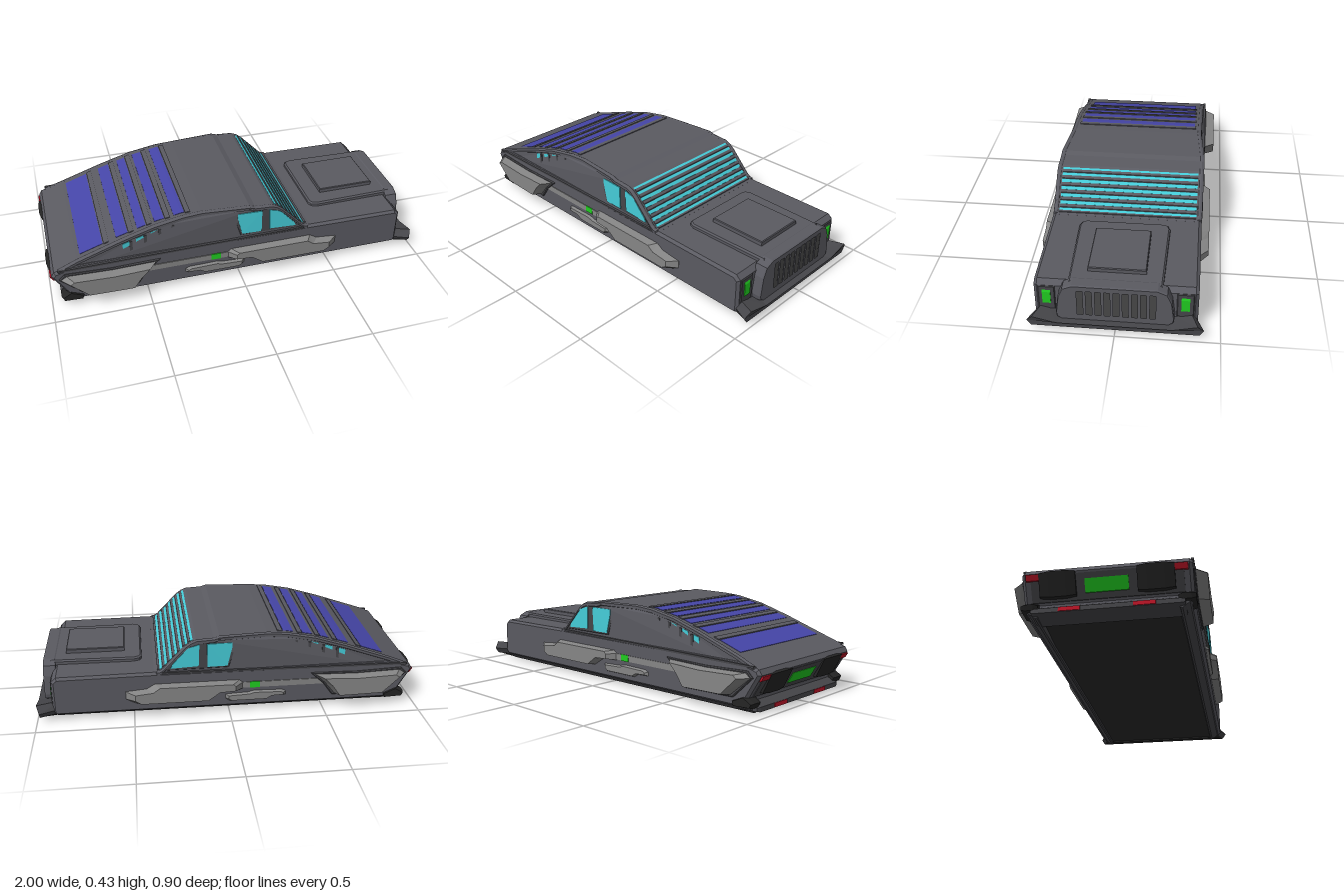
import * as THREE from 'three';

const BODY = 0x5a5a61, TRIM = 0x46464a, DARK = 0x242424, POD = 0x858585;
const CYAN = 0x45ccd8, BLUE = 0x4646a8, GREEN = 0x20cc20, RED = 0xc01528;

// Roof line seen from the side, tail to windshield base
const ROOF = [[-0.97, 0.22], [-0.85, 0.265], [-0.62, 0.345], [-0.45, 0.397], [-0.3, 0.425], [-0.2, 0.432],
  [0.05, 0.432], [0.08, 0.422], [0.17, 0.417], [0.2, 0.405], [0.23, 0.382], [0.345, 0.262], [0.36, 0.252], [0.39, 0.247]];
// Cabin width factor along x: slightly waisted behind the doors
const WAIST = [[-0.97, 1], [-0.85, 0.97], [-0.2, 0.945], [0.05, 1], [0.4, 1]];

// Value of a broken line at x
function lineAt(line, x) {
  for (let i = 1; i < line.length; i++) {
    const [x0, y0] = line[i - 1], [x1, y1] = line[i];
    if (x <= x1) return y0 + (y1 - y0) * (x - x0) / (x1 - x0);
  }
  return line[line.length - 1][1];
}
const roofY = x => lineAt(ROOF, x);

// Piece of the roof line between two x values, shifted vertically
function roofBand(x0, x1, up, down) {
  const xs = [x0, ...ROOF.map(p => p[0]).filter(x => x > x0 + 0.001 && x < x1 - 0.001), x1];
  return [...xs.map(x => [x, roofY(x) + up]), ...xs.reverse().map(x => [x, roofY(x) - down])];
}

const rect = (a, b, c, d) => [[a, b], [c, b], [c, d], [a, d]];

// Moves every vertex of a mesh by a rule
function reshape(mesh, rule) {
  const p = mesh.geometry.attributes.position;
  for (let i = 0; i < p.count; i++) p.setXYZ(i, ...rule(p.getX(i), p.getY(i), p.getZ(i)));
  mesh.geometry.computeVertexNormals();
}
const waist = mesh => reshape(mesh, (x, y, z) => [x, y, z * lineAt(WAIST, x)]);

export function createModel() {
  const root = new THREE.Group();
  const mats = {};
  const mat = c => mats[c] ??= new THREE.MeshStandardMaterial({ color: c, flatShading: true });

  // Extrudes an outline from a to b along an axis, with chamfered ends:
  // 'z' uses (x, y) points, 'y' uses (x, z) points, 'x' uses (z, y) points
  function slab(name, pts, a, b, color, { axis = 'z', size = 0, thick = size, holes = [] } = {}) {
    const flip = axis === 'x' ? -1 : 1;
    const shape = new THREE.Shape(pts.map(p => new THREE.Vector2(p[0] * flip, p[1])));
    for (const h of holes) shape.holes.push(new THREE.Path(h.map(p => new THREE.Vector2(p[0] * flip, p[1]))));
    const g = new THREE.ExtrudeGeometry(shape, {
      depth: b - a - 2 * thick, bevelEnabled: size > 0, bevelSize: size,
      bevelThickness: thick, bevelOffset: -size, bevelSegments: 1,
    });
    g.translate(0, 0, a + thick);
    if (axis === 'y') g.rotateX(-Math.PI / 2);
    if (axis === 'x') g.rotateY(Math.PI / 2);
    const m = new THREE.Mesh(g, mat(color));
    m.name = name;
    root.add(m);
    return m;
  }
  // Same outline on both sides of the car
  const pair = (name, pts, a, b, color, opt) => [
    slab(name + 'Left', pts, a, b, color, opt), slab(name + 'Right', pts, -b, -a, color, opt)];

  // Side pod whose outer face is shortened towards its middle
  function pod(name, pts, out, thick, mid, shrink) {
    for (const m of pair(name, pts, 0.31, out, POD, { size: 0.006, thick })) {
      reshape(m, (x, y, z) => [Math.abs(z) > out - 0.002 ? mid + (x - mid) * shrink : x, y, z]);
    }
  }

  // Lower hull, tucked-in sills and floor rising towards the tail
  slab('lowerBody', [[-0.91, 0.03], [0.9, 0.03], [0.915, 0.05], [0.915, 0.22], [0.89, 0.243], [0.35, 0.247],
    [-0.9, 0.24], [-0.97, 0.22], [-0.985, 0.195], [-0.91, 0.07]], -0.39, 0.39, BODY, { size: 0.012, thick: 0.015 });
  for (const s of [-1, 1]) {
    slab('sill', [[s * 0.388, 0.046], [s * 0.335, 0.003], [s * 0.325, 0.003], [s * 0.31, 0.04]], -0.92, 0.9, TRIM, { axis: 'x' });
  }
  slab('floorPan', [[-0.9, 0.029], [-0.62, 0.012], [0.9, 0.012], [0.9, 0.04], [-0.9, 0.04]], -0.33, 0.33, 0x2b2b2b);
  pair('beltLine', [[-0.95, 0.225], [0.35, 0.24], [0.35, 0.249], [-0.95, 0.235]], 0.38, 0.393, TRIM);

  // Fastback cabin with roof rails
  waist(slab('cabin', [...ROOF, ...ROOF.map(p => [p[0], 0.2]).reverse()], -0.382, 0.382, BODY, { size: 0.008, thick: 0.016 }));
  pair('roofRail', roofBand(-0.95, 0.38, 0.003, 0.024), 0.362, 0.39, BODY, { size: 0.006, thick: 0.012 }).forEach(waist);

  // Windshield louvres
  for (let i = 0; i < 7; i++) {
    const x = 0.187 + i * 0.0268;
    slab('windshieldStrip', roofBand(x, x + 0.012, 0.002, 0.01), -0.36, 0.36, CYAN);
    slab('windshieldRib', roofBand(x + 0.014, x + 0.025, 0.005, 0.01), -0.36, 0.36, BODY);
  }
  // Rear deck panels and the ribs between them
  for (const [a, b] of [[-0.83, -0.71], [-0.64, -0.58], [-0.53, -0.485], [-0.44, -0.39], [-0.34, -0.285]]) {
    slab('rearDeckPanel', roofBand(a, b, 0.002, 0.01), -0.33, 0.33, BLUE);
    slab('rearDeckRib', roofBand(b + 0.004, b + 0.03, 0.005, 0.01), -0.337, 0.337, BODY);
  }

  // Side windows
  const windows = [
    ...pair('windowFrame', [[0.0, 0.255], [0.345, 0.255], [0.325, 0.285], [0.23, 0.378], [0.19, 0.405], [-0.05, 0.405]],
      0.36, 0.386, TRIM, { size: 0.006 }),
    ...pair('doorWindow', [[0.01, 0.268], [0.115, 0.268], [0.115, 0.396], [-0.015, 0.396], [-0.015, 0.37]], 0.37, 0.389, CYAN),
    ...pair('frontWindow', [[0.16, 0.275], [0.305, 0.268], [0.295, 0.29], [0.215, 0.378], [0.155, 0.396]], 0.37, 0.389, CYAN)];
  for (const [a, b] of [[-0.615, -0.58], [-0.545, -0.505], [-0.47, -0.43], [-0.4, -0.36], [-0.335, -0.312]]) {
    const top = x => roofY(x) - 0.027;
    windows.push(...pair('sideLouvre', [[a, 0.26], [b, 0.255], [b, top(b)], [a, top(a)]], 0.36, 0.385, CYAN),
      ...pair('louvreFin', [[b, 0.25], [b + 0.015, 0.25], [b + 0.015, top(b)], [b, top(b)]], 0.36, 0.389, TRIM));
  }
  windows.forEach(waist);

  // Hood bulge and scoop
  slab('hoodBulge', [[0.45, -0.2], [0.46, -0.22], [0.49, -0.232], [0.93, -0.222], [0.93, 0.222], [0.49, 0.232],
    [0.46, 0.22], [0.45, 0.2]], 0.2, 0.267, BODY, { axis: 'y', size: 0.008 });
  slab('hoodScoop', rect(0.54, -0.14, 0.85, 0.14), 0.25, 0.29, BODY, { axis: 'y', size: 0.004 });

  // Grille surround with vertical openings
  const slots = [];
  for (let i = 0; i < 9; i++) {
    const z = -0.178 + i * 0.0427;
    slots.push(rect(z - 0.018, 0.094, z + 0.018, 0.244));
  }
  slab('grilleFrame', [[-0.25, 0.06], [0.25, 0.06], [0.275, 0.075], [0.28, 0.1], [0.267, 0.2], [0.245, 0.25], [0.2, 0.27],
    [-0.2, 0.27], [-0.245, 0.25], [-0.267, 0.2], [-0.28, 0.1], [-0.275, 0.075]], 0.9, 0.965, BODY,
  { axis: 'x', size: 0.004, thick: 0.008, holes: slots });
  slab('grilleBacking', rect(-0.205, 0.085, 0.205, 0.25), 0.9, 0.957, 0x484848, { axis: 'x' });

  // Headlights with a sloped upper edge
  for (const s of [-1, 1]) {
    const z = s * 0.329;
    slab('headlightHousing', rect(z - 0.041, 0.08, z + 0.041, 0.22), 0.9, 0.921, TRIM, { axis: 'x', size: 0.004 });
    slab('headlight', [[0.9, 0.12], [0.925, 0.12], [0.925, 0.186], [0.919, 0.203], [0.9, 0.203]], z - 0.02, z + 0.02, GREEN);
  }

  // Front bumper with raised, flared corners, and a lip swept back below it
  const bumper = slab('frontBumper', [[-0.42, 0.06], [-0.39, 0.096], [-0.27, 0.066], [0.27, 0.066], [0.39, 0.096],
    [0.42, 0.06], [0.4, 0.03], [-0.4, 0.03]], 0.88, 1, TRIM, { axis: 'x' });
  reshape(bumper, (x, y, z) => x < 0.9 ? [x, y, z * 0.89] : [x - (Math.abs(z) > 0.395 ? 0.015 : 0), y, z]);
  const lip = slab('bumperLip', [[-0.395, 0.031], [0.395, 0.031], [0.33, 0.003], [-0.33, 0.003]], 0.87, 0.98, DARK, { axis: 'x' });
  reshape(lip, (x, y, z) => x < 0.9 ? [x, y, z * 0.92] : [y < 0.01 ? 0.905 : x, y, z]);

  // Side pods
  pair('rearPodTrim', [[-0.95, 0.18], [-0.84, 0.075], [-0.55, 0.07], [-0.5, 0.14], [-0.43, 0.205], [-0.68, 0.2], [-0.92, 0.21]],
    0.36, 0.399, TRIM, { size: 0.005 });
  pod('rearPod', [[-0.94, 0.18], [-0.83, 0.088], [-0.56, 0.083], [-0.51, 0.145], [-0.455, 0.197], [-0.68, 0.192], [-0.91, 0.2]],
    0.45, 0.05, -0.69, 0.86);
  pod('frontPod', [[-0.07, 0.135], [0.03, 0.13], [0.1, 0.086], [0.5, 0.086], [0.54, 0.108], [0.54, 0.15],
    [0.43, 0.16], [0.39, 0.185], [-0.05, 0.185], [-0.07, 0.17]], 0.432, 0.04, 0.2, 0.87);
  pod('lowerPod', [[-0.3, 0.085], [-0.23, 0.082], [-0.2, 0.065], [0, 0.065], [0.02, 0.08], [0.02, 0.105],
    [-0.1, 0.11], [-0.13, 0.118], [-0.28, 0.115], [-0.3, 0.105]], 0.405, 0.015, -0.14, 0.94);
  pair('sideStrip', rect(-0.5, 0.138, -0.05, 0.17), 0.37, 0.394, POD);
  pair('sideMarker', rect(-0.16, 0.137, -0.108, 0.171), 0.37, 0.395, GREEN);

  // Tail: sloped fascia, lamps, exhaust lobes and bumper lip
  const fascia = (x0, x1, d) => [[-0.985 + 0.6 * x0 - d, 0.195 - x0], [-0.985 + 0.6 * x1 - d, 0.195 - x1],
    [-0.9, 0.195 - x1], [-0.9, 0.195 - x0]];
  slab('tailPanel', fascia(0.01, 0.115, 0.004), -0.35, 0.35, TRIM);
  slab('tailPlate', fascia(0.035, 0.09, 0.008), -0.1, 0.1, GREEN);
  for (const s of [-1, 1]) {
    const z = s * 0.225;
    slab('tailLobe', [[-1, 0.195], [-0.95, 0.09], [-0.9, 0.09], [-0.93, 0.212]], z - 0.085, z + 0.085, DARK, { size: 0.006, thick: 0.045 });
    slab('tailLamp', fascia(0.005, 0.03, 0.01), s * 0.34 - 0.03, s * 0.34 + 0.03, RED);
    slab('rearReflector', rect(-0.954, 0.014, -0.94, 0.034), s * 0.17 - 0.05, s * 0.17 + 0.05, RED);
  }
  slab('rearBumper', [[-0.95, 0.012], [-0.83, 0.005], [-0.83, 0.05], [-0.9, 0.065], [-0.95, 0.035]],
    -0.35, 0.35, TRIM, { size: 0.005, thick: 0.02 });
  pair('rearBumperCorner', [[-0.94, 0.035], [-0.84, 0.03], [-0.83, 0.06], [-0.9, 0.09], [-0.95, 0.06]], 0.32, 0.398, DARK, { size: 0.006, thick: 0.02 });
  return root;
}
